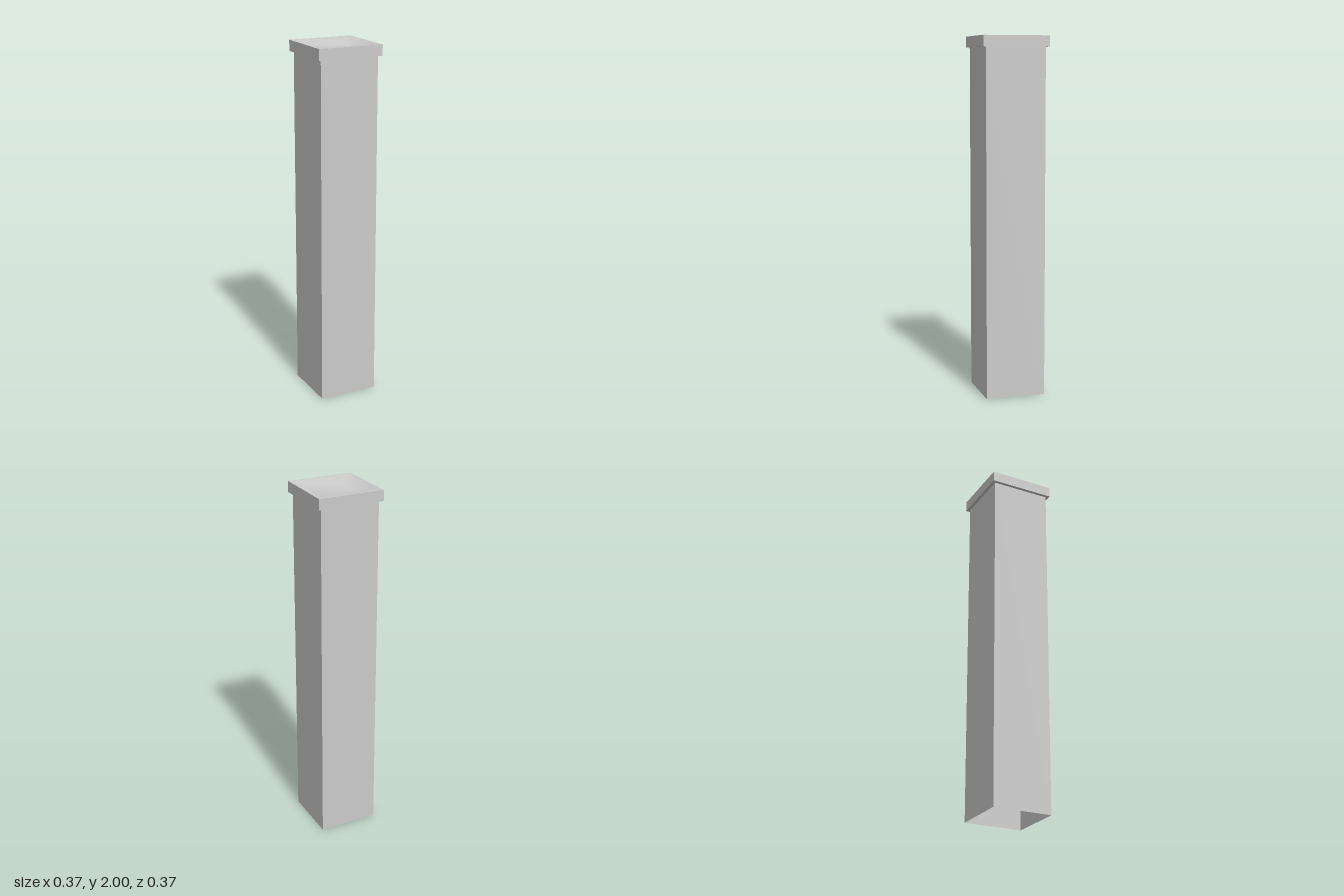
import * as THREE from 'three';
import { mergeVertices } from 'three/addons/utils/BufferGeometryUtils.js';

// Square lathe: each profile point is [half width, height]
function squareLathe(profile) {
  const points = profile.map(([half, y]) => new THREE.Vector2(half * Math.SQRT2, y));
  return new THREE.LatheGeometry(points, 4, Math.PI / 4);
}

export function createModel() {
  const group = new THREE.Group();
  const flat = new THREE.MeshStandardMaterial({ color: 0xcccccc, flatShading: true, side: THREE.DoubleSide });
  const smooth = new THREE.MeshStandardMaterial({ color: 0xcccccc, side: THREE.DoubleSide });

  const add = (name, geometry, material) => {
    const mesh = new THREE.Mesh(geometry, material);
    mesh.name = name;
    group.add(mesh);
  };

  const postHalf = 0.168, capHalf = 0.186, capBottom = 1.94, top = 2;

  // Hollow thin-walled shaft, open at the foot
  add('postShaft', squareLathe([[postHalf, 0], [postHalf, capBottom]]), flat);

  // Cap underside and vertical sides
  add('capSides', squareLathe([[0, capBottom], [capHalf, capBottom], [capHalf, top]]), flat);

  // Cap top: flat rim around a shallow dish, with soft blended normals
  let dish = squareLathe([[capHalf, top], [0.155, top], [0.1, top - 0.03], [0, top - 0.03]]);
  dish.deleteAttribute('normal');
  dish.deleteAttribute('uv');
  dish = mergeVertices(dish);
  dish.computeVertexNormals();
  add('capDish', dish, smooth);

  return group;
}
